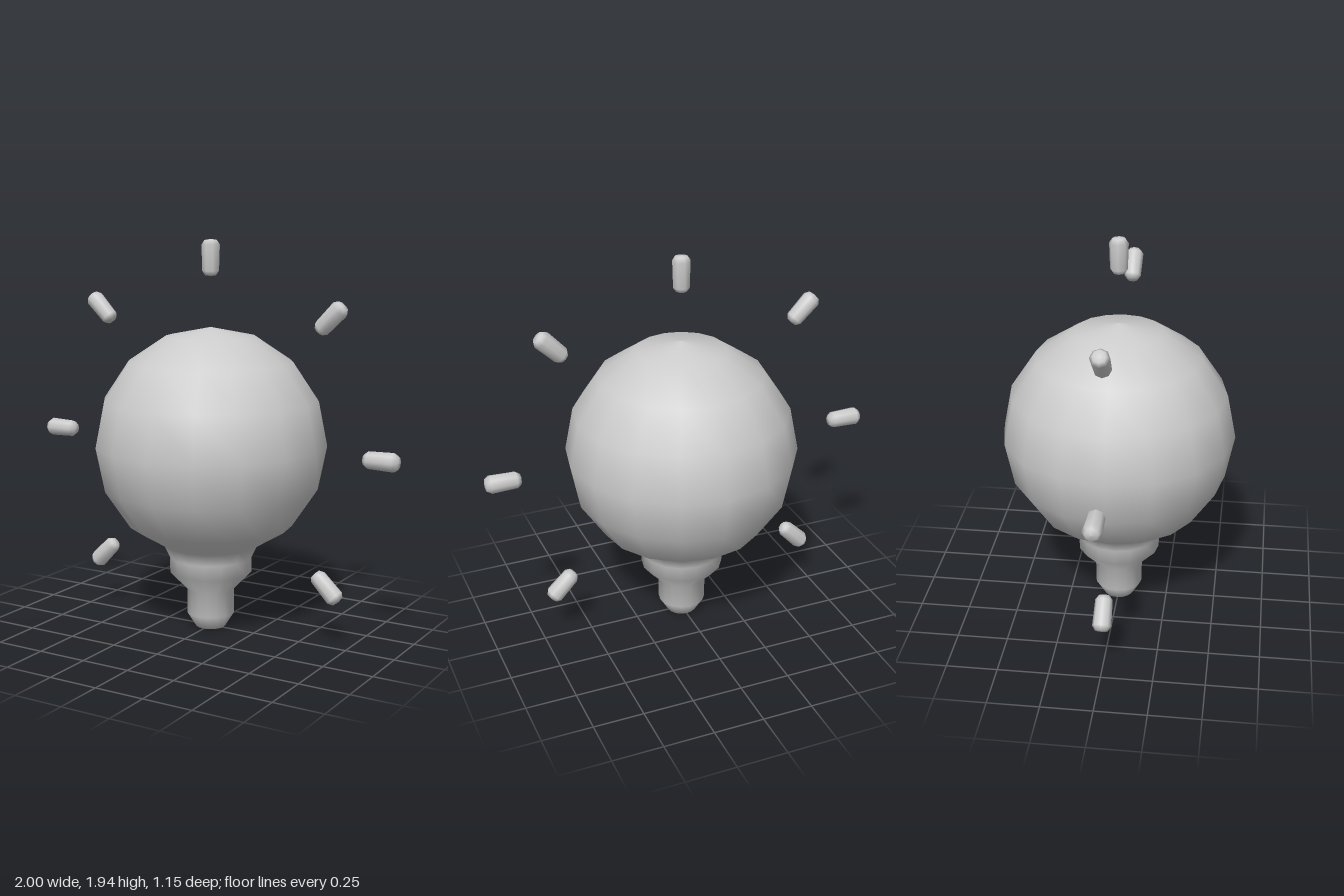
import * as THREE from 'three';

const material = new THREE.MeshStandardMaterial({ color: 0xcccccc });

// Revolve a bottom-to-top profile of [radius, height] pairs
function lathe(profile, sides) {
  return new THREE.LatheGeometry(profile.map(([r, y]) => new THREE.Vector2(r, y)), sides);
}

export function createModel() {
  const model = new THREE.Group();
  const centerY = 0.94, radius = 0.576, rayDistance = 0.911;

  // Bulb: stepped screw base running smoothly into the round glass
  const profile = [
    [0, 0], [0.075, 0.002], [0.12, 0.075], [0.12, 0.2],
    [0.207, 0.29], [0.207, 0.365], [0.237, 0.43],
  ];
  for (let i = -2; i <= 4; i++) {
    const a = i * Math.PI / 8;
    profile.push([i === 4 ? 0 : radius * Math.cos(a), centerY + radius * Math.sin(a)]);
  }
  const bulb = new THREE.Mesh(lathe(profile, 16), material);
  bulb.name = 'bulb';
  model.add(bulb);

  // Light rays: short rounded pegs, slightly narrower toward the bulb
  const rayGeometry = lathe([
    [0, -0.089], [0.027, -0.085], [0.042, -0.064],
    [0.046, 0.062], [0.031, 0.084], [0, 0.089],
  ], 8);
  const rays = new THREE.Group();
  rays.name = 'lightRays';
  for (let i = -3; i <= 3; i++) {
    const a = i * Math.PI / 4;
    const ray = new THREE.Mesh(rayGeometry, material);
    ray.name = 'lightRay';
    ray.position.set(-Math.sin(a) * rayDistance, centerY + Math.cos(a) * rayDistance, 0);
    ray.rotation.z = a;
    rays.add(ray);
  }
  model.add(rays);
  return model;
}
